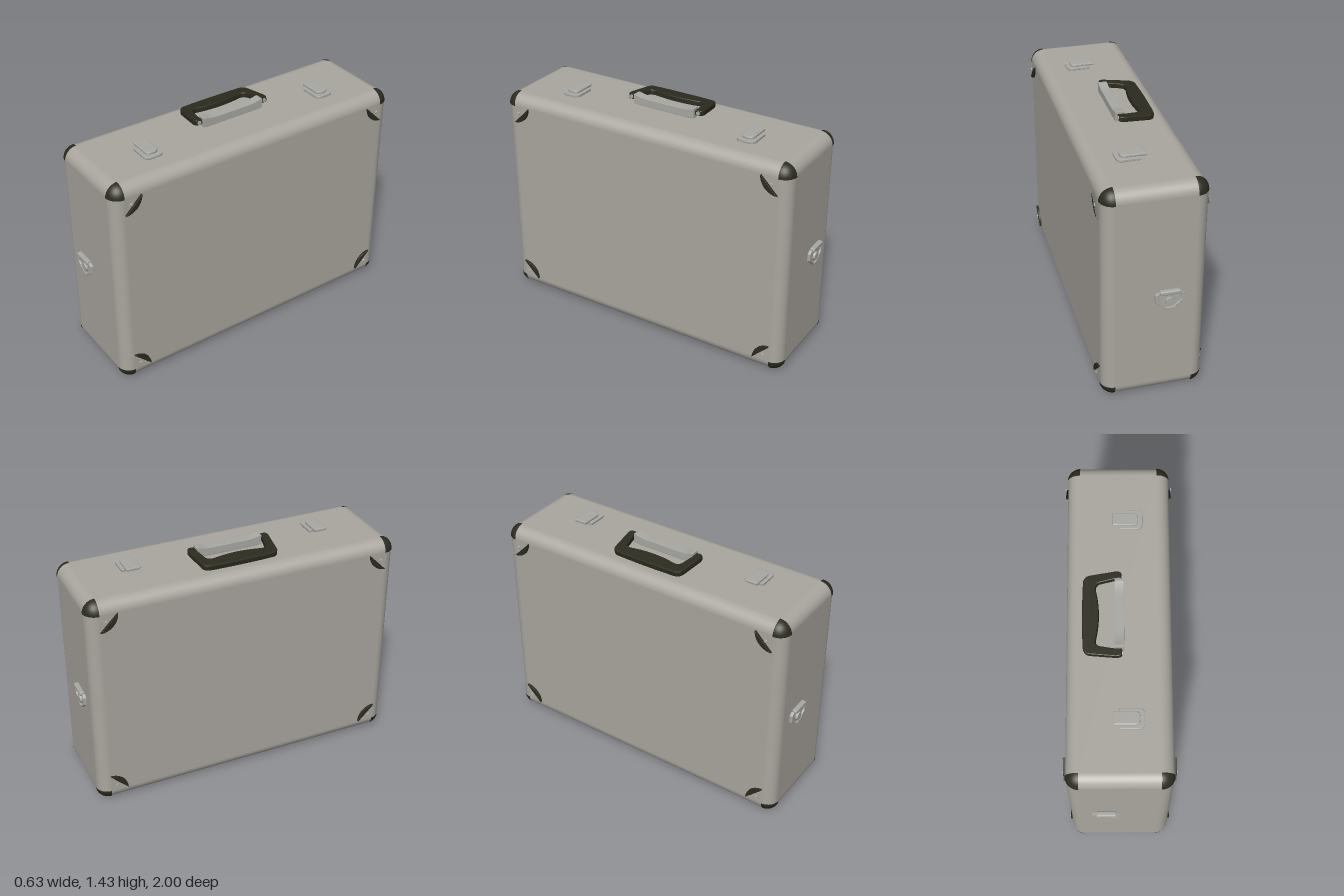
import * as THREE from 'three';
import { RoundedBoxGeometry } from 'three/addons/geometries/RoundedBoxGeometry.js';

const shell = new THREE.MeshStandardMaterial({ name: 'shell grey', color: 0xaaa69f });
const dark = new THREE.MeshStandardMaterial({ name: 'dark trim', color: 0x2b2b1f });
const metal = new THREE.MeshStandardMaterial({ name: 'metal grey', color: 0xa8a8a4 });

const W = 0.297, D = 0.97, Y0 = 0.005, Y1 = 1.363, R = 0.072;

function add(parent, name, geo, mat, x = 0, y = 0, z = 0) {
  const m = new THREE.Mesh(geo, mat);
  m.name = name;
  m.position.set(x, y, z);
  parent.add(m);
  return m;
}

const poly = (pts) => new THREE.Shape(pts.map(([x, y]) => new THREE.Vector2(x, y)));

// Extrusion with a small bevel kept inside the given outline and depth
function slab(shape, depth, bevel = 0, curveSegments = 12) {
  return new THREE.ExtrudeGeometry(shape, {
    depth: depth - 2 * bevel, bevelEnabled: bevel > 0, bevelThickness: bevel,
    bevelSize: bevel, bevelOffset: -bevel, bevelSegments: 2, curveSegments,
  }).translate(0, 0, bevel);
}

// Plate lying flat, square at x0 and rounded at x1
function tabShape(x0, x1, h, r) {
  const s = new THREE.Shape();
  s.moveTo(x0, -h);
  s.lineTo(x1 - r, -h);
  s.quadraticCurveTo(x1, -h, x1, -h + r);
  s.lineTo(x1, h - r);
  s.quadraticCurveTo(x1, h, x1 - r, h);
  s.lineTo(x0, h);
  s.closePath();
  return s;
}
const flat = (geo) => geo.rotateX(-Math.PI / 2);

// Dark sphere octant over each corner
function cornerCaps(g) {
  for (const sx of [1, -1]) for (const sy of [1, -1]) for (const sz of [1, -1]) {
    const phi = sz > 0 ? (sx > 0 ? 0.5 : 0) : (sx > 0 ? 1 : 1.5);
    const geo = new THREE.SphereGeometry(R + 0.004, 10, 8, phi * Math.PI, Math.PI / 2,
      sy > 0 ? 0 : Math.PI / 2, Math.PI / 2);
    add(g, 'cornerCap', geo, dark, sx * (W - R), sy > 0 ? Y1 - R : Y0 + R, sz * (D - R));
  }
}

// Quarter-disc plates with a rivet on both broad sides
function sidePlates(g) {
  for (const sx of [1, -1]) for (const sy of [1, -1]) for (const sz of [1, -1]) {
    const plate = new THREE.Group();
    plate.name = 'cornerPlate';
    plate.position.set(sx * (W - 0.003), sy > 0 ? 1.293 : 0.08, sz * 0.9);
    plate.rotation.y = sx * Math.PI / 2;
    const u = sx * sz; // local x that points inward along the case
    const a = Math.atan2(-sy, u);
    const s = new THREE.Shape();
    s.moveTo(0, 0);
    s.absarc(0, 0, 0.106, a - Math.PI / 4, a + Math.PI / 4, false);
    s.closePath();
    add(plate, 'plate', slab(s, 0.017, 0.002), dark);
    const rivet = new THREE.CylinderGeometry(0.009, 0.011, 0.005, 12).rotateX(Math.PI / 2);
    add(plate, 'rivet', rivet, metal, u * 0.036, -sy * 0.04, 0.0185);
    g.add(plate);
  }
}

// Two latches on the top
function latches(g) {
  for (const z of [0.6, -0.6]) {
    const latch = new THREE.Group();
    latch.name = 'latch';
    latch.position.set(0, Y1, z);
    const base = tabShape(0, 0.138, 0.06, 0.04);
    add(latch, 'latchBase', flat(slab(base, 0.016, 0.003)), metal);
    add(latch, 'latchTongue', flat(slab(tabShape(-0.035, 0.113, 0.04, 0.034), 0.018, 0.006)), metal, 0, 0.013, 0);
    g.add(latch);
  }
}

// Strap ring and stud on each narrow end
function strapRings(g) {
  const outer = [[-0.062, 0.06], [0.062, 0.06], [0.084, 0.045], [0.084, 0],
    [0.022, -0.055], [-0.022, -0.055], [-0.084, 0], [-0.084, 0.045]];
  for (const sz of [1, -1]) {
    const ring = new THREE.Group();
    ring.name = 'strapRing';
    ring.position.set(-0.08, 0.645, sz * (D - 0.002));
    if (sz < 0) ring.rotation.y = Math.PI;
    const frame = poly(outer);
    frame.holes.push(new THREE.Path(outer.map(([x, y]) => new THREE.Vector2(x * 0.8, y * 0.8)).reverse()));
    add(ring, 'backPlate', slab(poly(outer.map(([x, y]) => [x * 0.85, y * 0.85])), 0.01), metal);
    add(ring, 'ringFrame', slab(frame, 0.02, 0.003), metal);
    add(ring, 'stud', new THREE.CylinderGeometry(0.026, 0.028, 0.024, 20).rotateX(Math.PI / 2), metal, 0, -0.005, 0.012);
    add(ring, 'hingeBar', new RoundedBoxGeometry(0.118, 0.026, 0.031, 3, 0.008), metal, 0, 0.06, 0.0165);
    g.add(ring);
  }
}

// Tilted carrying handle with its metal mount
function handle(g) {
  const h = new THREE.Group();
  h.name = 'handle';
  const s = new THREE.Shape();
  s.moveTo(0.017, 0.21);
  s.lineTo(0.017, 0.24);
  s.quadraticCurveTo(0.014, 0.258, -0.02, 0.256);
  s.lineTo(-0.165, 0.238);
  s.quadraticCurveTo(-0.202, 0.23, -0.202, 0.19);
  s.quadraticCurveTo(-0.21, 0, -0.202, -0.19);
  s.quadraticCurveTo(-0.202, -0.23, -0.165, -0.238);
  s.lineTo(-0.02, -0.256);
  s.quadraticCurveTo(0.014, -0.258, 0.017, -0.24);
  s.lineTo(0.017, -0.21);
  s.lineTo(-0.02, -0.208);
  s.lineTo(-0.1, -0.192);
  s.quadraticCurveTo(-0.135, -0.185, -0.13, -0.15);
  s.quadraticCurveTo(-0.096, 0, -0.13, 0.15);
  s.quadraticCurveTo(-0.135, 0.185, -0.1, 0.192);
  s.lineTo(-0.02, 0.208);
  s.closePath();
  const grip = add(h, 'grip', flat(slab(s, 0.034, 0.006)), dark, 0, 1.387, 0);
  grip.rotation.z = 0.1;

  // Mount: side profile with a shallow dip along the top
  const m = new THREE.Shape();
  m.moveTo(-0.206, 1.37);
  m.lineTo(0.206, 1.37);
  m.lineTo(0.206, 1.428);
  m.lineTo(0.19, 1.428);
  m.quadraticCurveTo(0.15, 1.416, 0.1, 1.416);
  m.lineTo(-0.1, 1.416);
  m.quadraticCurveTo(-0.15, 1.416, -0.19, 1.428);
  m.lineTo(-0.206, 1.428);
  m.closePath();
  add(h, 'mount', slab(m, 0.054, 0.002).rotateY(Math.PI / 2), metal, -0.026, 0, 0);
  add(h, 'mountFoot', new THREE.BoxGeometry(0.04, 0.02, 0.36), metal, 0, 1.365, 0);
  for (const sz of [1, -1]) {
    add(h, 'pivotPin', new THREE.CylinderGeometry(0.012, 0.012, 0.008, 12).rotateZ(Math.PI / 2),
      metal, 0.016, 1.405, sz * 0.23);
  }
  g.add(h);
}

export function createModel() {
  const g = new THREE.Group();
  g.name = 'suitcase';
  add(g, 'caseBody', new RoundedBoxGeometry(2 * W, Y1 - Y0, 2 * D, 6, R), shell, 0, (Y0 + Y1) / 2, 0);
  cornerCaps(g);
  sidePlates(g);
  latches(g);
  strapRings(g);
  handle(g);
  return g;
}
